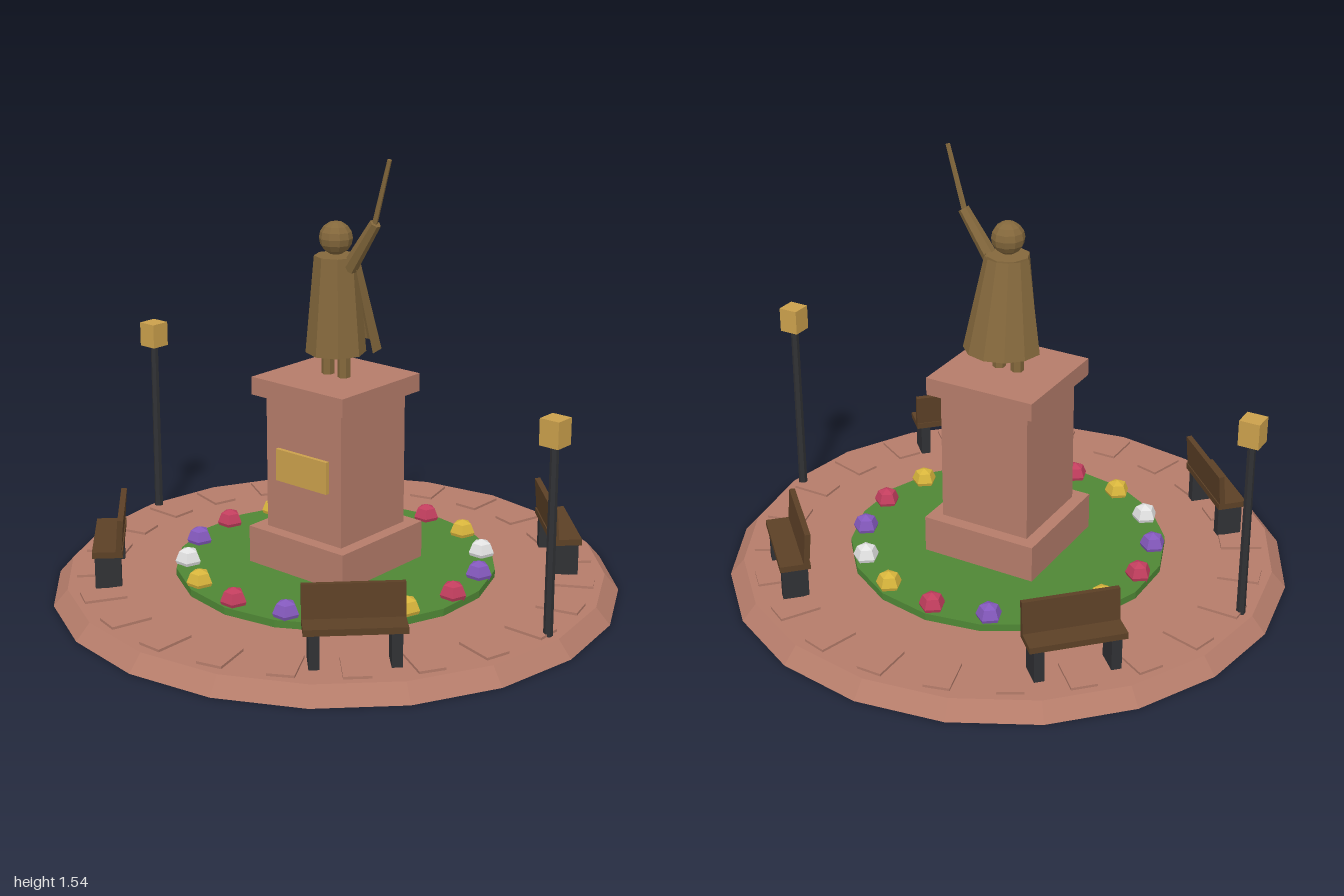
import * as THREE from 'three';

const paint = (name, color) => {
  const m = new THREE.MeshStandardMaterial({ color });
  m.name = name;
  return m;
};

export function createModel() {
  const brick = paint('brick', 0xb57c6a), grass = paint('grass', 0x4f8735);
  const gold = paint('gold', 0xcba04c), bronze = paint('bronze', 0x84683c);
  const wood = paint('wood', 0x5c4026), iron = paint('iron', 0x303134);
  const petals = [paint('red', 0xc23e5e), paint('purple', 0x8459bd),
    paint('white', 0xe2e2e2), paint('yellow', 0xd8b53c)];
  const root = new THREE.Group();
  root.name = 'monumentPlaza';

  // Faceted mesh helper
  const add = (parent, name, geometry, material, x = 0, y = 0, z = 0) => {
    const flat = geometry.index ? geometry.toNonIndexed() : geometry;
    flat.computeVertexNormals();
    const mesh = new THREE.Mesh(flat, material);
    mesh.name = name;
    mesh.position.set(x, y, z);
    parent.add(mesh);
    return mesh;
  };
  // Upright pieces given by bottom and top heights
  const block = (parent, name, mat, w, y0, y1, d, x = 0, z = 0) =>
    add(parent, name, new THREE.BoxGeometry(w, y1 - y0, d), mat, x, (y0 + y1) / 2, z);
  const drum = (parent, name, mat, rTop, rBottom, y0, y1, sides, x = 0, z = 0) =>
    add(parent, name, new THREE.CylinderGeometry(rTop, rBottom, y1 - y0, sides), mat, x, (y0 + y1) / 2, z);
  // Tapered rod between two points
  const rod = (parent, name, mat, from, to, r0, r1, sides) => {
    const a = new THREE.Vector3(...from), b = new THREE.Vector3(...to);
    const dir = b.clone().sub(a);
    const mesh = add(parent, name, new THREE.CylinderGeometry(r1, r0, dir.length(), sides), mat);
    mesh.position.copy(a).add(b).multiplyScalar(0.5);
    mesh.quaternion.setFromUnitVectors(new THREE.Vector3(0, 1, 0), dir.normalize());
  };
  // Group placed on a ring, its +z facing outward
  const onRing = (name, angle, radius) => {
    const g = new THREE.Group();
    g.name = name;
    g.position.set(Math.sin(angle) * radius, 0, Math.cos(angle) * radius);
    g.rotation.y = angle;
    root.add(g);
    return g;
  };

  // Ground: plaza, paving and lawn
  drum(root, 'plaza', brick, 0.95, 1, 0, 0.057, 20);
  for (let i = 0; i < 24; i++) {
    block(onRing('pavingStone', i * Math.PI / 12, 0.84), 'stone', brick, 0.09, 0.05, 0.066, 0.145);
  }
  drum(root, 'lawn', grass, 0.567, 0.567, 0.05, 0.083, 18);

  // Ring of flowers
  for (let i = 0; i < 16; i++) {
    const a = i * Math.PI / 8;
    const flower = new THREE.SphereGeometry(0.047, 5, 4).rotateY(-Math.PI / 2);
    add(root, 'flower', flower, petals[i % 4], Math.sin(a) * 0.522, 0.095, Math.cos(a) * 0.522);
  }

  // Pedestal
  block(root, 'pedestalFoot', brick, 0.432, 0.07, 0.217, 0.432);
  block(root, 'pedestalShaft', brick, 0.34, 0.217, 0.7, 0.34);
  block(root, 'pedestalCap', brick, 0.412, 0.7, 0.764, 0.412);
  block(root, 'plaque', gold, 0.23, 0.402, 0.517, 0.03, 0, 0.17);

  // Statue
  const statue = new THREE.Group();
  statue.name = 'statue';
  root.add(statue);
  for (const s of [-1, 1]) drum(statue, 'leg', bronze, 0.023, 0.023, 0.764, 0.9, 6, s * 0.036);
  drum(statue, 'coat', bronze, 0.075, 0.105, 0.848, 1.187, 8);
  add(statue, 'head', new THREE.SphereGeometry(0.058, 10, 8), bronze, 0, 1.247);
  rod(statue, 'raisedArm', bronze, [0.06, 1.15, 0], [0.173, 1.318, 0], 0.028, 0.02, 6);
  rod(statue, 'baton', bronze, [0.165, 1.3, 0], [0.231, 1.536, 0], 0.01, 0.008, 5);

  // Cape: half cone whose hem sweeps back, with an inner lining
  const cape = new THREE.CylinderGeometry(0.08, 0.14, 0.325, 6, 1, true, Math.PI / 2, Math.PI);
  const p = cape.attributes.position;
  for (let i = 0; i < p.count; i++) if (p.getY(i) < 0) p.setZ(i, p.getZ(i) - 0.03);
  const lining = cape.clone();
  const idx = lining.index.array;
  for (let i = 0; i < idx.length; i += 3) [idx[i], idx[i + 1]] = [idx[i + 1], idx[i]];
  add(statue, 'cape', cape, bronze, 0, 1.022);
  add(statue, 'capeLining', lining, bronze, 0, 1.022);

  // Benches facing outward on the diagonals
  for (let i = 0; i < 4; i++) {
    const bench = onRing('bench', (i + 0.5) * Math.PI / 2, 0.797);
    block(bench, 'seat', wood, 0.33, 0.174, 0.196, 0.105);
    const back = block(bench, 'backrest', wood, 0.33, 0.19, 0.309, 0.02, 0, -0.043);
    back.rotation.x = -0.08;
    for (const s of [-1, 1]) block(bench, 'benchLeg', iron, 0.035, 0.01, 0.174, 0.09, s * 0.13);
  }

  // Lamps
  for (const s of [-1, 1]) {
    drum(root, 'lampPost', iron, 0.014, 0.016, 0.02, 0.715, 6, s * 0.908);
    block(root, 'lampHead', gold, 0.072, 0.708, 0.798, 0.072, s * 0.908);
  }
  return root;
}
